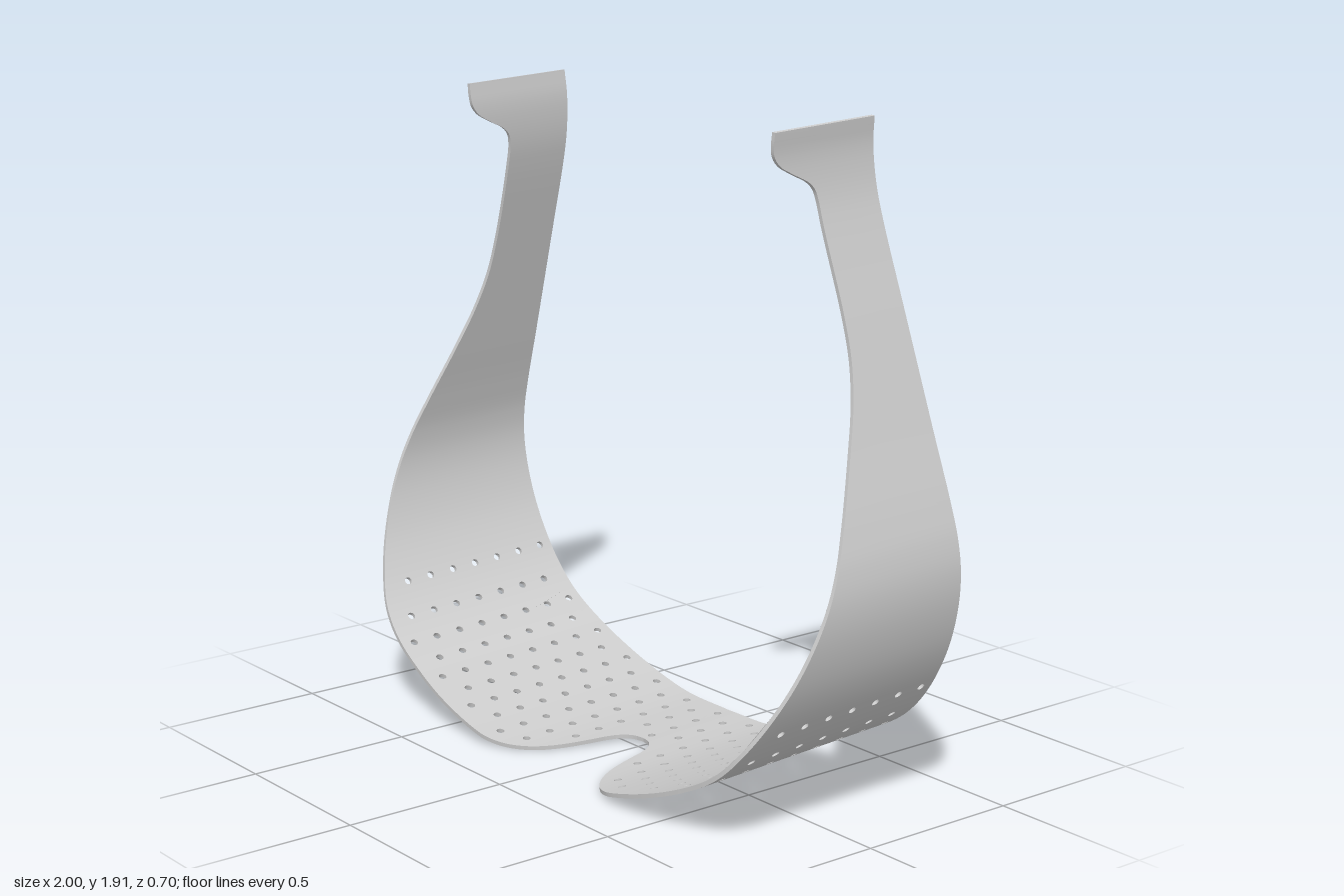
import * as THREE from 'three';

const TILT = 0.05;        // whole band leans slightly about x
const THICK = 0.012;
const BACK = -0.347;      // straight rear edge
const PITCH_X = 0.0735, PITCH_Z = 0.0845, HOLE_R = 0.0115;

// Outer profile of the bent band (half, from the middle to the arm tip)
const HALF = [
  [0, 0.013], [0.2, 0.02], [0.4, 0.065], [0.6, 0.135], [0.735, 0.203], [0.81, 0.263], [0.88, 0.347],
  [0.95, 0.475], [0.988, 0.6], [0.998, 0.7], [0.988, 0.79], [0.96, 0.89], [0.9, 1.067], [0.8, 1.367],
  [0.716, 1.62], [0.695, 1.7], [0.685, 1.77], [0.683, 1.83], [0.69, 1.896],
];
// Nose cutout edge as (x, z), then arm front edge as (z, y)
const NOSE = [[0, -0.02], [0.035, -0.012], [0.065, 0.012], [0.085, 0.055], [0.105, 0.13], [0.135, 0.21],
  [0.175, 0.27], [0.23, 0.317], [0.29, 0.342], [0.34, 0.348], [0.5, 0.348]];
const ARM = [[0.345, 0.13], [0.325, 0.27], [0.285, 0.385], [0.208, 0.577], [0.106, 0.825], [0.005, 1.07],
  [-0.035, 1.18], [-0.06, 1.29], [-0.066, 1.41], [-0.057, 1.635], [-0.053, 1.7], [-0.045, 1.73], [-0.027, 1.75],
  [0.03, 1.778], [0.07, 1.8], [0.09, 1.825], [0.096, 1.855], [0.096, 1.89]];

const curve = new THREE.CatmullRomCurve3(HALF.map(([x, y]) => new THREE.Vector3(x, y, 0)), false, 'centripetal');
curve.arcLengthDivisions = 1000;
const LENGTH = curve.getLength();

// Point and tangent at signed arc length s (negative s is the mirrored half)
function frame(s) {
  const u = Math.min(Math.abs(s) / LENGTH, 1), sign = s < 0 ? -1 : 1;
  const p = curve.getPointAt(u), t = curve.getTangentAt(u);
  if (u < 1e-5) t.set(1, 0, 0);
  return { x: p.x * sign, y: p.y, tx: t.x, ty: t.y * sign };
}

// Arc length at which a rising coordinate reaches a value
function arcAt(axis, value, hi = LENGTH) {
  let lo = 0;
  for (let i = 0; i < 40; i++) {
    const mid = (lo + hi) / 2;
    if (curve.getPointAt(mid / LENGTH)[axis] < value) lo = mid; else hi = mid;
  }
  return lo;
}
const X_LIMIT = arcAt('y', 0.65);
const arcAtX = (x) => Math.sign(x) * arcAt('x', Math.abs(x), X_LIMIT);

// Front edge of the flattened band, as z over arc length
const edge = new THREE.CatmullRomCurve3([
  ...NOSE.map(([x, z]) => new THREE.Vector3(arcAtX(x), z, 0)),
  ...ARM.map(([z, y]) => new THREE.Vector3(arcAt('y', y + TILT * z), z - TILT * y, 0)),
], false, 'centripetal').getPoints(400);

function frontZ(s) {
  const a = Math.abs(s);
  let i = 1;
  while (i < edge.length - 1 && edge[i].x < a) i++;
  const p = edge[i - 1], q = edge[i];
  const k = THREE.MathUtils.clamp((a - p.x) / (q.x - p.x || 1), 0, 1);
  return p.y + (q.y - p.y) * k;
}

// One flat slice of the band from arc length a to b, with its column of holes
function slice(a, b, holeS, rows) {
  const n = 6, pts = [];
  for (let i = 0; i <= n; i++) pts.push(new THREE.Vector2(a + (b - a) * i / n, BACK));
  for (let i = n; i >= 0; i--) {
    const s = a + (b - a) * i / n;
    pts.push(new THREE.Vector2(s, frontZ(s)));
  }
  const shape = new THREE.Shape(pts);
  for (const z of rows) {
    shape.holes.push(new THREE.Path().absarc(holeS, z, HOLE_R, 0, Math.PI * 2, true));
  }
  return new THREE.ExtrudeGeometry(shape, { depth: THICK, bevelEnabled: false, curveSegments: 12 });
}

// Rows of holes that fit in a column; odd columns are staggered by half a pitch
function holeRows(k, s) {
  const rows = [];
  const limit = Math.min(frontZ(s), frontZ(s - 0.025), frontZ(s + 0.025)) - 0.025;
  for (let j = -6; j <= 2; j++) {
    const z = 0.202 + PITCH_Z * (j + (k % 2 ? 0.5 : 0));
    if (z < limit) rows.push(z);
  }
  return rows;
}

// Bend a flat slice onto the profile, leaving out the walls where slices join
function bend(geo, a, b, positions, normals) {
  const flat = geo.index ? geo.toNonIndexed() : geo;
  const p = flat.attributes.position, nrm = flat.attributes.normal;
  const isJoin = (i, s) => Math.abs(s) < LENGTH - 1e-4
    && [0, 1, 2].every((c) => Math.abs(p.getX(i + c) - s) < 1e-5);
  for (let i = 0; i < p.count; i += 3) {
    if (isJoin(i, a) || isJoin(i, b)) continue;
    for (let c = i; c < i + 3; c++) {
      const f = frame(p.getX(c)), d = p.getZ(c) - THICK;
      positions.push(f.x + f.ty * d, f.y - f.tx * d, p.getY(c));
      const ns = nrm.getX(c), nd = nrm.getZ(c);
      normals.push(f.tx * ns + f.ty * nd, f.ty * ns - f.tx * nd, nrm.getY(c));
    }
  }
}

export function createModel() {
  const positions = [], normals = [];
  const add = (a, b, s = 0, rows = []) => bend(slice(a, b, s, rows), a, b, positions, normals);

  // Perforated visor
  for (let k = -12; k <= 12; k++) {
    const s = arcAtX(k * PITCH_X);
    add(arcAtX((k - 0.5) * PITCH_X), arcAtX((k + 0.5) * PITCH_X), s, holeRows(k, s));
  }
  // Plain side arms
  const start = arcAtX(12.5 * PITCH_X), count = 44;
  for (let i = 0; i < count; i++) {
    const a = start + (LENGTH - start) * i / count;
    const b = start + (LENGTH - start) * (i + 1) / count;
    add(a, b);
    add(-b, -a);
  }

  const geometry = new THREE.BufferGeometry();
  geometry.setAttribute('position', new THREE.Float32BufferAttribute(positions, 3));
  geometry.setAttribute('normal', new THREE.Float32BufferAttribute(normals, 3));
  geometry.rotateX(TILT);
  geometry.computeBoundingBox();
  geometry.translate(0, -geometry.boundingBox.min.y, 0);

  const visor = new THREE.Mesh(geometry, new THREE.MeshStandardMaterial({ color: 0xcccccc }));
  visor.name = 'perforatedVisorBand';
  const group = new THREE.Group();
  group.name = 'wraparoundGlasses';
  group.add(visor);
  return group;
}
